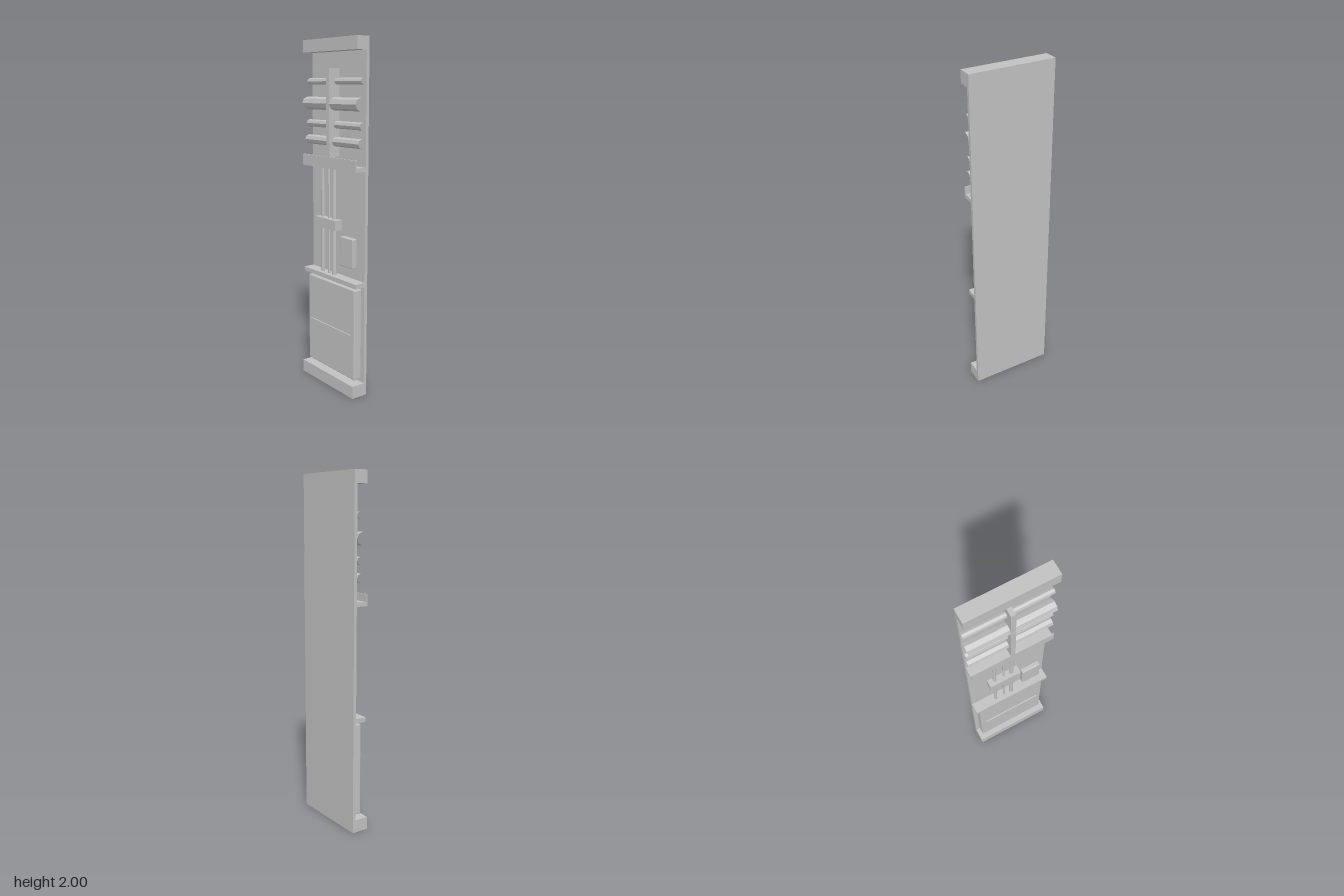
import * as THREE from 'three';
import { RoundedBoxGeometry } from 'three/addons/geometries/RoundedBoxGeometry.js';

export function createModel() {
  const group = new THREE.Group();
  group.name = 'wallPanel';
  const grey = new THREE.MeshStandardMaterial({ color: 0xc0c0c0, flatShading: true });
  grey.name = 'panelGrey';

  const W = 0.246;      // half width of the panel
  const FACE = -0.032;  // front face of the backing plate

  const add = (name, geometry, x, y, z) => {
    const mesh = new THREE.Mesh(geometry, grey);
    mesh.name = name;
    mesh.position.set(x, y, z);
    group.add(mesh);
    return mesh;
  };
  // Block given by its limits on each axis; a radius softens its edges
  const block = (name, [x0, x1], [y0, y1], [z0, z1], radius = 0) => {
    const size = [x1 - x0, y1 - y0, z1 - z0];
    const geometry = radius
      ? new RoundedBoxGeometry(...size, 2, radius)
      : new THREE.BoxGeometry(...size);
    return add(name, geometry, (x0 + x1) / 2, (y0 + y1) / 2, (z0 + z1) / 2);
  };
  // Open-ended eight-sided pipe
  const pipe = (name, r, length, x, y, z) =>
    add(name, new THREE.CylinderGeometry(r, r, length, 8, 1, true), x, y, z);

  // Backing plate with top and bottom rails
  block('backPlate', [-W, W], [0, 2], [-0.05, FACE]);
  block('baseRail', [-W, W], [0, 0.073], [FACE, 0.05]);
  block('topRail', [-W, W], [1.93, 2], [FACE, 0.032]);

  // Horizontal pipes resting against the plate, held by a central fin
  [[1.77, 0.018], [1.648, 0.036], [1.533, 0.021], [1.44, 0.0265]].forEach(([y, r], i) => {
    pipe(`horizontalPipe${i + 1}`, r, 2 * W, 0, y, FACE + 0.001 + r).rotation.z = Math.PI / 2;
  });
  block('pipeFin', [-0.014, 0.014], [1.355, 1.84], [FACE, 0.04]);

  // Open trough below the pipes
  block('troughFloor', [-W, W], [1.29, 1.313], [FACE, 0.04]);
  block('troughLip', [-W, W], [1.313, 1.355], [0.032, 0.04]);

  // Vertical pipes with their clamp
  [[-0.098, 0.0105], [-0.04, 0.0065], [0.01, 0.0135]].forEach(([x, r], i) => {
    pipe(`verticalPipe${i + 1}`, r, 0.62, x, 0.98, 0.001);
  });
  block('pipeClamp', [-0.138, 0.055], [0.94, 0.998], [-0.018, 0.03]);

  // Control box
  block('controlBox', [0.08, 0.197], [0.744, 0.913], [-0.015, 0.016], 0.005);

  // Shelf, lower door and handle strip
  block('shelf', [-W, W], [0.644, 0.67], [FACE, 0.034]);
  block('lowerDoor', [-0.221, 0.221], [0.093, 0.627], [FACE, 0.021], 0.006);
  block('doorHandle', [-0.19, 0.19], [0.349, 0.359], [0.018, 0.029]);

  return group;
}
